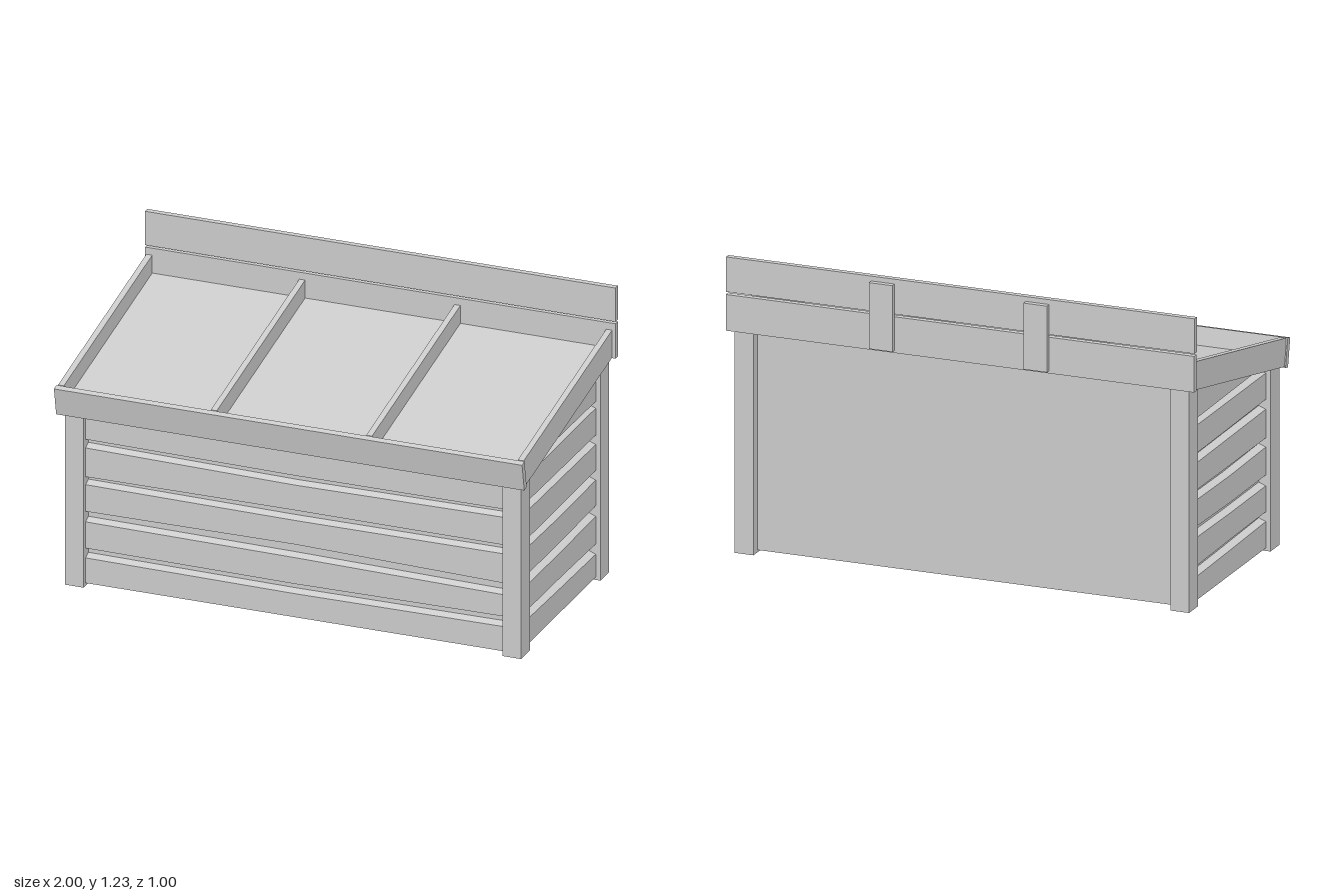
import * as THREE from 'three';

export function createModel() {
  const model = new THREE.Group();
  const grey = new THREE.MeshStandardMaterial({ color: 0xcccccc });
  grey.name = 'grey timber';

  const add = (name, geometry) => {
    const mesh = new THREE.Mesh(geometry, grey);
    mesh.name = name;
    model.add(mesh);
  };
  const box = (name, x0, x1, y0, y1, z0, z1) => {
    const g = new THREE.BoxGeometry(x1 - x0, y1 - y0, z1 - z0);
    g.translate((x0 + x1) / 2, (y0 + y1) / 2, (z0 + z1) / 2);
    add(name, g);
  };
  const extrude = (points, depth) => new THREE.ExtrudeGeometry(
    new THREE.Shape(points.map(([u, v]) => new THREE.Vector2(u, v))),
    { depth, bevelEnabled: false });
  // Side profile given as [z, y], swept from x0 to x1
  const profile = (name, points, x0, x1) => {
    const g = extrude(points.map(([z, y]) => [-z, y]), x1 - x0);
    g.rotateY(Math.PI / 2);
    g.translate(x0, 0, 0);
    add(name, g);
  };
  // Height of the sloping tray rim at depth z
  const rim = z => 1.045 - 0.201 * (z + 0.455);
  const sloped = (zf, zb, y0, drop) =>
    [[zf, y0], [zf, rim(zf) - drop], [zb, rim(zb) - drop], [zb, y0]];
  const band = (zf, zb, top, bottom) => [
    [zf, rim(zf) - bottom], [zf, rim(zf) - top],
    [zb, rim(zb) - top], [zb, rim(zb) - bottom]];

  // Inner cabinet and corner posts
  profile('cabinet', sloped(0.41, -0.42, 0.01, 0.09), -0.92, 0.92);
  for (const x of [-0.97, 0.89]) {
    profile('frontPost', sloped(0.46, 0.37, 0, 0.1), x, x + 0.08);
    profile('backPost', sloped(-0.37, -0.46, 0, 0.1), x, x + 0.08);
  }

  // Rough-sawn slats: outline in the wall plane, outer edges eased
  const slat = (name, outline, place) => {
    const g = extrude(outline, 0.03);
    const p = g.attributes.position;
    const ys = outline.map(q => q[1]);
    const mid = (Math.min(...ys) + Math.max(...ys)) / 2;
    for (let i = 0; i < p.count; i++) {
      if (p.getZ(i) < 0.02) continue;
      p.setY(i, p.getY(i) + (p.getY(i) > mid ? -0.012 : 0.007));
    }
    g.computeVertexNormals();
    place(g);
    add(name, g);
  };
  const outline = (half, [b0, b1, b2, t0, t1, t2]) => [
    [-half, b0], [0, b1], [half, b2], [half, t2], [0, t1], [-half, t0]];
  const toRight = g => g.rotateY(-Math.PI / 2).translate(-0.92, 0, 0);
  const toLeft = g => g.rotateY(Math.PI / 2).translate(0.92, 0, 0);
  const bothSides = points => {
    slat('leftSlat', points, toLeft);
    slat('rightSlat', points.map(([u, v]) => [-u, v]), toRight);
  };

  // Each row: bottom heights at start, middle, end, then top heights
  const frontRows = [
    [0.005, 0.005, 0.005, 0.132, 0.125, 0.13],
    [0.155, 0.148, 0.155, 0.287, 0.28, 0.267],
    [0.313, 0.318, 0.298, 0.447, 0.44, 0.443],
    [0.462, 0.465, 0.462, 0.605, 0.592, 0.6],
    [0.623, 0.614, 0.616, 0.752, 0.752, 0.752],
  ];
  const sideRows = [
    [0.005, 0.005, 0.005, 0.134, 0.127, 0.122],
    [0.155, 0.153, 0.147, 0.282, 0.281, 0.285],
    [0.308, 0.306, 0.312, 0.443, 0.437, 0.441],
    [0.462, 0.461, 0.463, 0.6, 0.597, 0.594],
    [0.622, 0.618, 0.615, 0.75, 0.75, 0.75],
  ];
  for (const row of frontRows) {
    slat('frontSlat', outline(0.89, row), g => g.translate(0, 0, 0.41));
  }
  for (const row of sideRows) bothSides(outline(0.37, row));
  // Top side slat, cut to the slope of the tray
  bothSides([[-0.3, 0.767], [0.37, 0.76], [0.37, 0.897], [0.22, 0.897]]);

  // Sloping tray: floor, two sides, two dividers and front board
  profile('trayFloor', band(0.46, -0.455, 0.077, 0.105), -0.985, 0.975);
  for (const x of [-0.995, 0.96]) {
    profile('traySide', band(0.47, -0.455, 0, 0.118), x, x + 0.025);
  }
  for (const x of [-0.345, 0.315]) {
    profile('trayDivider', band(0.47, -0.455, 0, 0.1), x, x + 0.025);
  }
  profile('trayFront',
    [[0.5, 0.853], [0.475, 0.859], [0.452, 0.741], [0.477, 0.735]], -1, 0.99);

  // Raised back boards joined by two cleats
  box('lowerBackBoard', -1, 1, 0.925, 1.075, -0.48, -0.455);
  box('upperBackBoard', -1, 1, 1.085, 1.23, -0.477, -0.452);
  for (const x of [-0.33, 0.33]) {
    box('backCleat', x - 0.05, x + 0.05, 0.935, 1.21, -0.5, -0.477);
  }

  return model;
}
